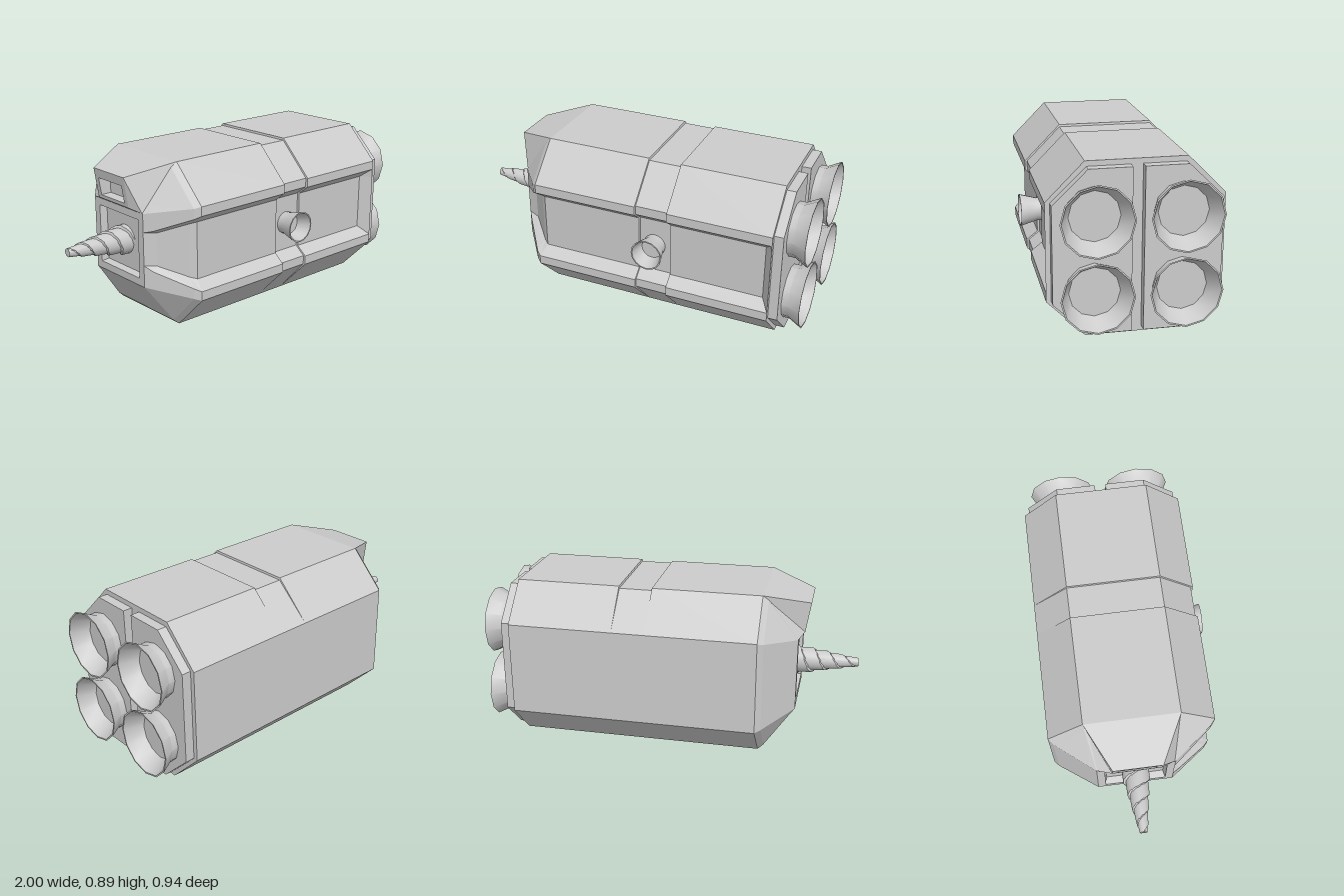
import * as THREE from 'three';
import { toCreasedNormals } from 'three/addons/utils/BufferGeometryUtils.js';

const CY = 0.447, CZ = -0.02; // long axis of the hull

const material = new THREE.MeshStandardMaterial({ color: 0xcccccc });

function part(name, geometry, parent) {
  const mesh = new THREE.Mesh(geometry, material);
  mesh.name = name;
  parent.add(mesh);
  return mesh;
}

// Skin closed rings of [x, y, z] points, going toward -x, with flat normals.
function loft(rings, capStart, capEnd) {
  const pos = [];
  const tri = (a, b, c) => {
    const t = new THREE.Triangle(...[a, b, c].map(p => new THREE.Vector3(...p)));
    if (t.getArea() > 1e-8) pos.push(...a, ...b, ...c);
  };
  const n = rings[0].length;
  for (let i = 0; i < rings.length - 1; i++) {
    for (let j = 0; j < n; j++) {
      const k = (j + 1) % n;
      const a = rings[i][j], b = rings[i][k], c = rings[i + 1][k], d = rings[i + 1][j];
      tri(a, b, c);
      tri(a, c, d);
    }
  }
  const cap = (ring, flip) => {
    const mid = [0, 1, 2].map(q => ring.reduce((s, p) => s + p[q], 0) / n);
    // keep the fan centre on the hull axis for uneven rings
    if (n === 12) { mid[1] = CY; mid[2] = CZ; }
    ring.forEach((p, j) => {
      const q = ring[(j + 1) % n];
      flip ? tri(q, p, mid) : tri(p, q, mid);
    });
  };
  if (capStart) cap(rings[0], true);
  if (capEnd) cap(rings[rings.length - 1], false);
  const g = new THREE.BufferGeometry();
  g.setAttribute('position', new THREE.Float32BufferAttribute(pos, 3));
  g.computeVertexNormals();
  return g;
}

// Octagonal cross-section with a sunken panel in the front (+z) side.
function hullRing({ x, hy = 0.447, hz = 0.445, fy = 0.253, fz = 0.253, rim = 0.203, floor = 0.155, xf = x, depth = 0.06, dent = 0 }) {
  const front = hz - dent, top = hy - dent;
  const pts = [
    [x, fy, front], [x, top, fz], [x, top, -fz], [x, fy, -hz],
    [x, -fy, -hz], [x, -hy, -fz], [x, -hy, fz], [x, -fy, front],
    [x, -rim, front], [xf, -floor, front - depth],
    [xf, floor, front - depth], [x, rim, front],
  ];
  return pts.map(([px, y, z]) => [px, y + CY, z + CZ]);
}

function spun(profile, segments) {
  const g = new THREE.LatheGeometry(profile.map(p => new THREE.Vector2(...p)), segments);
  return toCreasedNormals(g, 0.6);
}

export function createModel() {
  const model = new THREE.Group();
  model.name = 'drillShip';

  // Hull: shallow band around the middle, tapered nose, recessed nose socket
  const nose = { hy: 0.2, hz: 0.21, fy: 0.2, fz: 0.21, rim: 0.1, floor: 0.08, depth: 0 };
  const rings = [
    { x: 0.845, depth: 0 },
    { x: 0.84, xf: 0.8 },
    { x: 0.28 }, { x: 0.278, dent: 0.012 },
    { x: 0.102, dent: 0.012 }, { x: 0.1 },
    { x: -0.49, xf: -0.47 },
    { x: -0.52, xf: -0.5, hy: 0.42, hz: 0.42, fy: 0.243, fz: 0.246, rim: 0.187, floor: 0.145 },
    { x: -0.65, xf: -0.615, hy: 0.24, hz: 0.25, fy: 0.208, fz: 0.217, rim: 0.11, floor: 0.09, depth: 0.015 },
    { x: -0.68, ...nose },
  ].map(hullRing);
  const shrink = (ring, x, s) => ring.map(p => [x, CY + (p[1] - CY) * s, CZ + (p[2] - CZ) * s]);
  const face = rings[rings.length - 1];
  rings.push(shrink(face, -0.68, 0.8), shrink(face, -0.64, 0.76));
  part('hull', loft(rings, true, true), model);

  // Hood over the nose, with a recessed window
  const quad = (xt, yt, wt, xb, yb, wb) => [
    [xt, yt, CZ + wt], [xt, yt, CZ - wt], [xb, yb, CZ - wb], [xb, yb, CZ + wb],
  ];
  part('noseHood', loft([
    quad(-0.49, 0.894, 0.253, -0.68, 0.647, 0.205),
    quad(-0.735, 0.83, 0.13, -0.708, 0.665, 0.13),
    quad(-0.727, 0.78, 0.1, -0.711, 0.685, 0.1),
    quad(-0.66, 0.775, 0.09, -0.66, 0.69, 0.09),
  ], false, true), model);

  // Drill: tapering cone with two spiral flutes
  const drillRings = [];
  const steps = 60, around = 36;
  for (let i = 0; i <= steps; i++) {
    const t = i / steps, ring = [];
    for (let j = 0; j < around; j++) {
      const u = j / around, a = u * Math.PI * 2;
      const f = 2 * u - 4.5 * t;
      const r = (0.088 - 0.065 * t) * (1 - 0.17 * (f - Math.floor(f)));
      ring.push([-0.64 - 0.36 * t, 0.45 + 0.01 * t + r * Math.sin(a), CZ + r * Math.cos(a)]);
    }
    drillRings.push(ring);
  }
  part('drill', toCreasedNormals(loft(drillRings, false, true), 0.6), model);

  // Rear plates and the four engine nozzles
  const nozzle = spun([
    [0.145, -0.02], [0.145, 0.035], [0.182, 0.105], [0.174, 0.105], [0.127, 0.01], [0, 0.01],
  ], 12);
  for (const side of [1, -1]) {
    const outline = [[0.03, 0.42], [0.245, 0.42], [0.42, 0.25], [0.42, -0.25], [0.245, -0.42], [0.03, -0.42]];
    const shape = new THREE.Shape(outline.map(([z, y]) => new THREE.Vector2(-z * side, y)));
    const plate = part('rearPlate', new THREE.ExtrudeGeometry(shape, { depth: 0.05, bevelEnabled: false }), model);
    plate.rotation.y = Math.PI / 2;
    plate.position.set(0.845, CY, CZ);
    for (const up of [1, -1]) {
      const bell = part('engineNozzle', nozzle, model);
      bell.rotation.z = -Math.PI / 2;
      bell.position.set(0.895, CY + 0.192 * up, CZ + 0.217 * side);
    }
  }

  // Round port on the front panel
  const port = part('sidePort', spun([
    [0.062, -0.02], [0.062, 0.02], [0.075, 0.065], [0.087, 0.11], [0.08, 0.11], [0.058, 0.03], [0, 0.03],
  ], 16), model);
  port.rotation.x = Math.PI / 2;
  port.position.set(0.185, 0.45, 0.36);

  return model;
}
